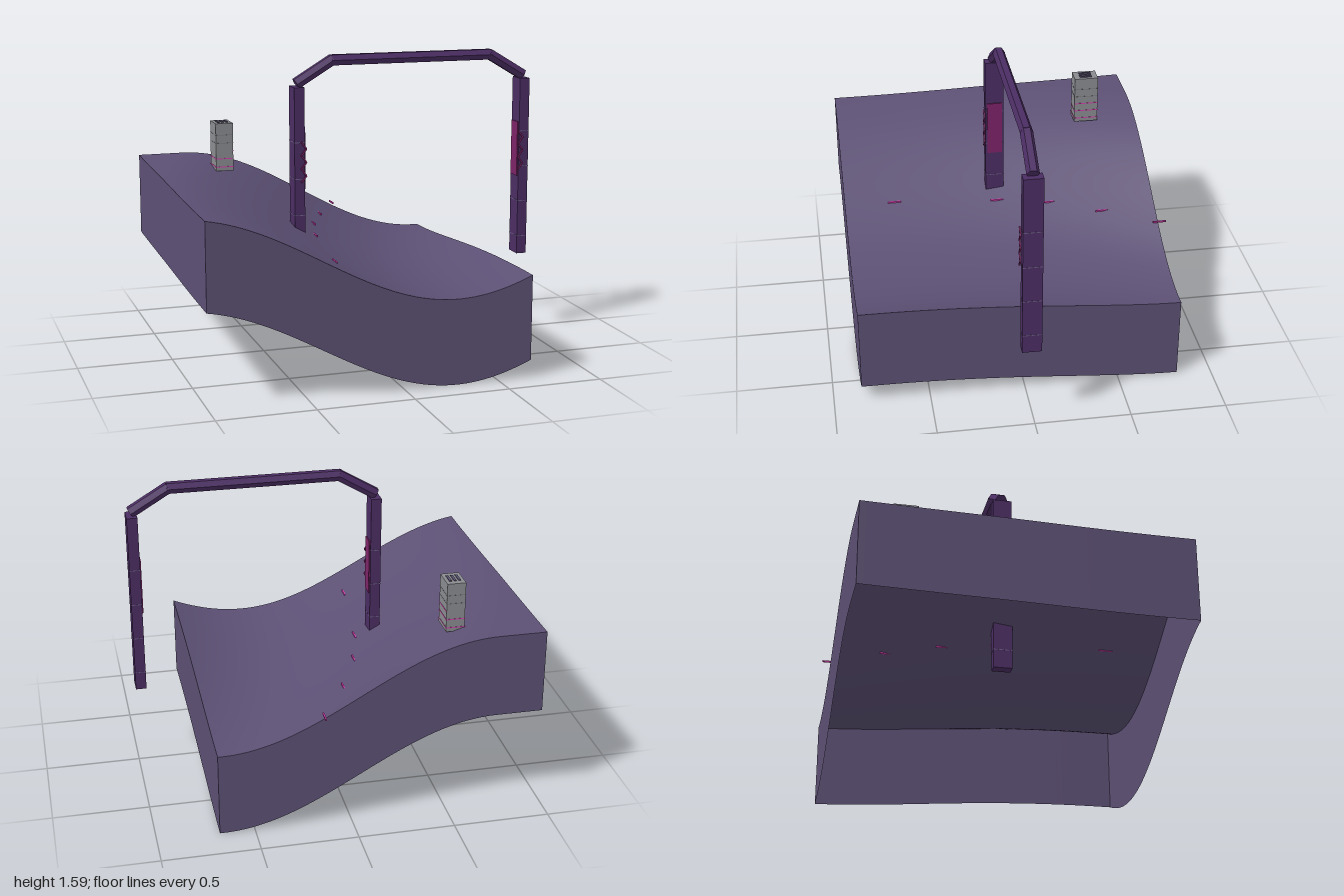
import * as THREE from 'three';

const mat = (name, color, side = THREE.FrontSide) => {
  const m = new THREE.MeshStandardMaterial({ color, side });
  m.name = name;
  return m;
};

const X0 = -1, X1 = 0.68, Z0 = -0.82, Z1 = 0.855, THICK = 0.445;

// Rolling hill: a cosine slope whose valley drifts sideways towards the back
function height(x, z) {
  const t = Math.pow(Math.max(0, (Z1 - z) / (Z1 - Z0)), 2.2);
  const valley = 0.28 + 0.38 * t;
  const amp = 0.247 + 0.011 * t;
  const angle = Math.min(Math.PI, Math.abs(x - valley) * 2.22);
  return 0.448 + amp * (1 - Math.cos(angle));
}

export function createModel() {
  const model = new THREE.Group();
  model.name = 'hillWithArch';
  const ground = mat('dusky purple', 0x5c5074, THREE.DoubleSide);
  const frame = mat('deep purple', 0x4b2d63);
  const seam = mat('pale purple', 0x6f5f88);
  const panel = mat('dark magenta', 0x7d2468);
  const glow = mat('pink', 0xd53fb0);
  const stone = mat('grey', 0x8b8c90);
  const groove = mat('grey line', 0x74757c);
  const slat = mat('slate purple', 0x57506e);

  const add = (parent, name, geo, m, x = 0, y = 0, z = 0) => {
    const mesh = new THREE.Mesh(geo, m);
    mesh.name = name;
    mesh.position.set(x, y, z);
    parent.add(mesh);
    return mesh;
  };
  const box = (parent, name, m, w, h, d, x, y, z) =>
    add(parent, name, new THREE.BoxGeometry(w, h, d), m, x, y, z);

  // Hill: a curved top with four skirts, open underneath
  const hill = new THREE.Group();
  hill.name = 'hill';
  model.add(hill);
  const top = new THREE.PlaneGeometry(X1 - X0, Z1 - Z0, 48, 48);
  top.rotateX(-Math.PI / 2);
  top.translate((X0 + X1) / 2, 0, (Z0 + Z1) / 2);
  const tp = top.attributes.position;
  for (let i = 0; i < tp.count; i++) tp.setY(i, height(tp.getX(i), tp.getZ(i)));
  top.computeVertexNormals();
  add(hill, 'hillTop', top, ground);

  const corners = [[X0, Z1], [X1, Z1], [X1, Z0], [X0, Z0]];
  ['frontSkirt', 'rightEdgeSkirt', 'backSkirt', 'leftEdgeSkirt'].forEach((name, s) => {
    const [a, b] = [corners[s], corners[(s + 1) % 4]];
    const geo = new THREE.PlaneGeometry(1, 1, 48, 1);
    const p = geo.attributes.position;
    for (let i = 0; i < p.count; i++) {
      const u = p.getX(i) + 0.5;
      const x = a[0] + (b[0] - a[0]) * u, z = a[1] + (b[1] - a[1]) * u;
      p.setXYZ(i, x, height(x, z) - (p.getY(i) < 0 ? THICK : 0), z);
    }
    geo.computeVertexNormals();
    add(hill, name, geo, ground);
  });

  // Arch: two posts joined by a hexagonal beam
  const arch = new THREE.Group();
  arch.name = 'arch';
  arch.position.set(0.33, 0, 0.018);
  model.add(arch);
  for (const s of [-1, 1]) {
    const post = new THREE.Group();
    post.name = s < 0 ? 'rightPost' : 'leftPost';
    post.position.x = s * 0.64;
    arch.add(post);
    box(post, 'post', frame, 0.056, 0.98, 0.1, 0, 0.94, 0);
    for (const y of [0.55, 0.75, 0.945, 1.14])
      box(post, 'postSeam', seam, 0.058, 0.004, 0.102, 0, y, 0);
    box(post, 'innerPanel', panel, 0.006, 0.3, 0.08, -s * 0.031, 1.04, 0);
    // Zigzag strip on the inner front corner
    for (let i = 0; i < 6; i++) {
      const rod = box(post, 'zigzag', panel, 0.008, 0.046, 0.008, -s * 0.021, 0.945 + i * 0.036, 0.056);
      rod.rotation.z = (i % 2 ? 1 : -1) * 0.65;
    }
  }
  const bar = (x0, y0, x1, y1) => {
    const a = new THREE.Vector3(x0, y0, 0), dir = new THREE.Vector3(x1 - x0, y1 - y0, 0);
    const geo = new THREE.CylinderGeometry(0.032, 0.032, dir.length() + 0.012, 6).toNonIndexed();
    geo.computeVertexNormals();
    const m = add(arch, 'beam', geo, frame);
    m.position.copy(a).addScaledVector(dir, 0.5);
    m.quaternion.setFromUnitVectors(new THREE.Vector3(0, 1, 0), dir.normalize());
  };
  bar(-0.64, 1.448, -0.448, 1.563);
  bar(-0.448, 1.563, 0.448, 1.563);
  bar(0.448, 1.563, 0.64, 1.448);

  // Stone pillar with banding and a slatted cap
  const pillar = new THREE.Group();
  pillar.name = 'pillar';
  pillar.position.set(-0.585, 0, -0.542);
  model.add(pillar);
  box(pillar, 'pillarBody', stone, 0.097, 0.265, 0.132, 0, 1.0425, 0);
  for (const y of [0.932, 0.978])
    box(pillar, 'glowBand', glow, 0.1, 0.005, 0.135, 0, y, 0);
  box(pillar, 'sideGlow', glow, 0.004, 0.005, 0.132, 0.048, 1.022, 0);
  for (const y of [1.065, 1.11])
    box(pillar, 'grooveLine', groove, 0.099, 0.003, 0.134, 0, y, 0);
  for (const x of [-0.024, 0, 0.024])
    box(pillar, 'capSlat', slat, 0.013, 0.006, 0.068, x, 1.176, 0);

  // Glowing markers along the slope
  for (const [x, z] of [[-0.28, 0.58], [-0.21, 0.015], [-0.14, -0.26], [-0.02, -0.54], [0.14, -0.825]])
    box(model, 'slopeMarker', glow, 0.008, 0.008, 0.072, x, Math.max(0.617, height(x, z) + 0.002), z);

  return model;
}
